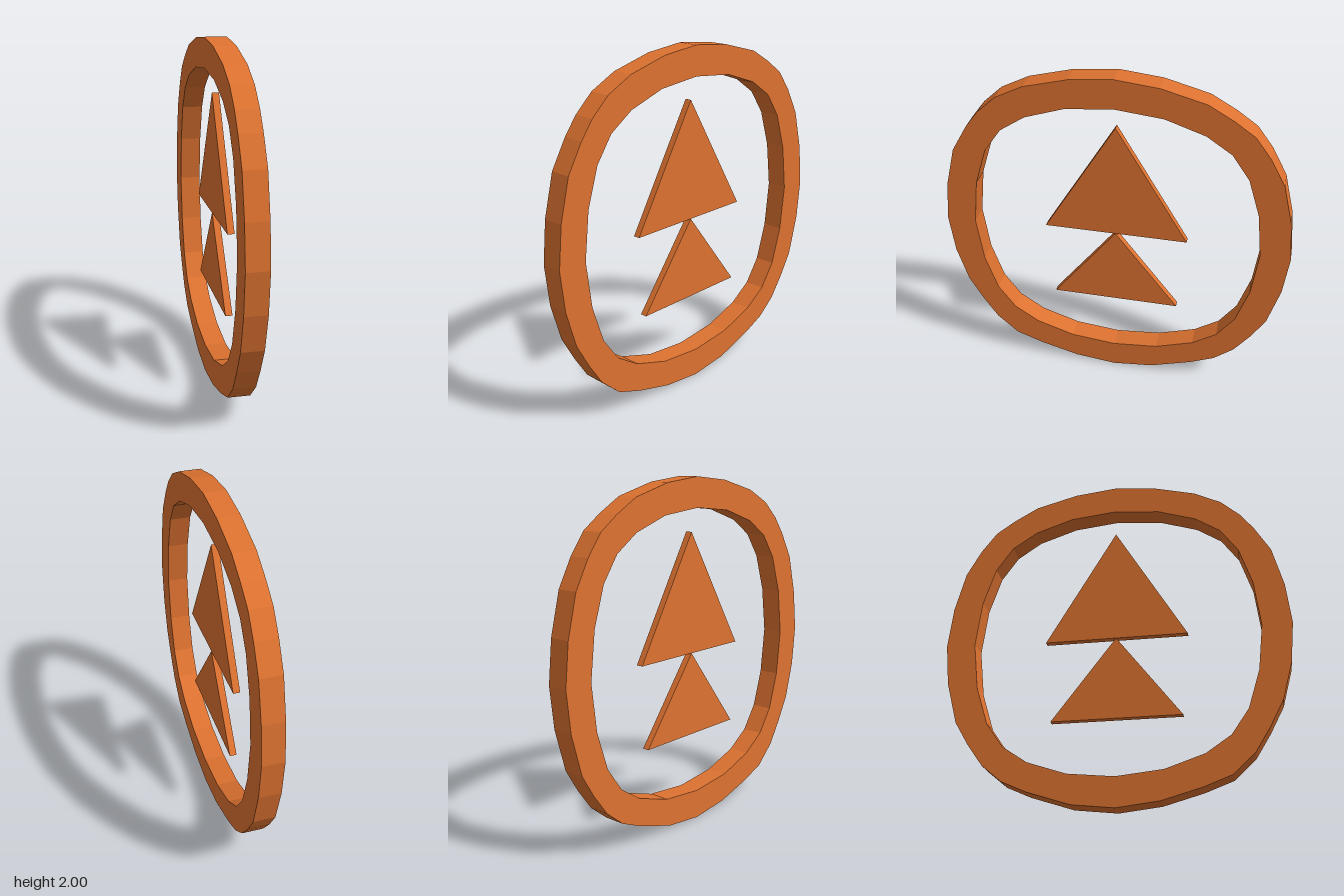
import * as THREE from 'three';

// Outline points are [z, y] pairs; the plate is extruded along x and centred on x = 0
const toPoints = (pairs) => pairs.map(([z, y]) => new THREE.Vector2(-z, y));

function plate(name, outline, thickness, material, hole) {
  const shape = new THREE.Shape(toPoints(outline));
  if (hole) shape.holes.push(new THREE.Path(toPoints(hole)));
  const geometry = new THREE.ExtrudeGeometry(shape, { depth: thickness, bevelEnabled: false });
  geometry.translate(0, 0, -thickness / 2).rotateY(Math.PI / 2);
  const mesh = new THREE.Mesh(geometry, material);
  mesh.name = name;
  return mesh;
}

export function createModel() {
  const group = new THREE.Group();
  group.name = 'ringedArrowSign';
  const orange = new THREE.MeshStandardMaterial({ color: 0xdd7230 });
  orange.name = 'orange';

  // Slightly uneven hand-cut outer rim
  const outer = [
    [0, 2], [0.24, 1.975], [0.485, 1.91], [0.642, 1.83], [0.75, 1.73], [0.825, 1.63], [0.915, 1.475], [0.975, 1.24],
    [1, 1], [0.975, 0.765], [0.915, 0.55], [0.835, 0.4], [0.75, 0.265], [0.626, 0.15], [0.466, 0.09], [0.24, 0.027],
    [0, 0], [-0.24, 0.027], [-0.485, 0.107], [-0.626, 0.17], [-0.74, 0.265], [-0.83, 0.39], [-0.91, 0.525], [-0.975, 0.765],
    [-1, 1], [-0.975, 1.24], [-0.915, 1.475], [-0.83, 1.63], [-0.74, 1.75], [-0.626, 1.83], [-0.485, 1.91], [-0.24, 1.975],
  ];

  // Rounded opening: one quarter mirrored around the centre (0, 1)
  const quarter = [[0, 0.83], [0.265, 0.803], [0.487, 0.728], [0.629, 0.632], [0.728, 0.49], [0.798, 0.27], [0.83, 0]];
  const half = [...quarter, ...quarter.slice(0, -1).reverse().map(([z, y]) => [z, -y])];
  const inner = [...half, ...half.slice(1, -1).reverse().map(([z, y]) => [-z, y])].map(([z, y]) => [z, y + 1]);

  group.add(plate('ring', outer, 0.125, orange, inner));

  // Two stacked arrowheads, thinner than the ring
  group.add(plate('upperTriangle', [[0, 1.695], [0.413, 1], [-0.413, 1]], 0.04, orange));
  group.add(plate('lowerTriangle', [[0, 1], [0.372, 0.512], [-0.372, 0.512]], 0.04, orange));
  return group;
}
